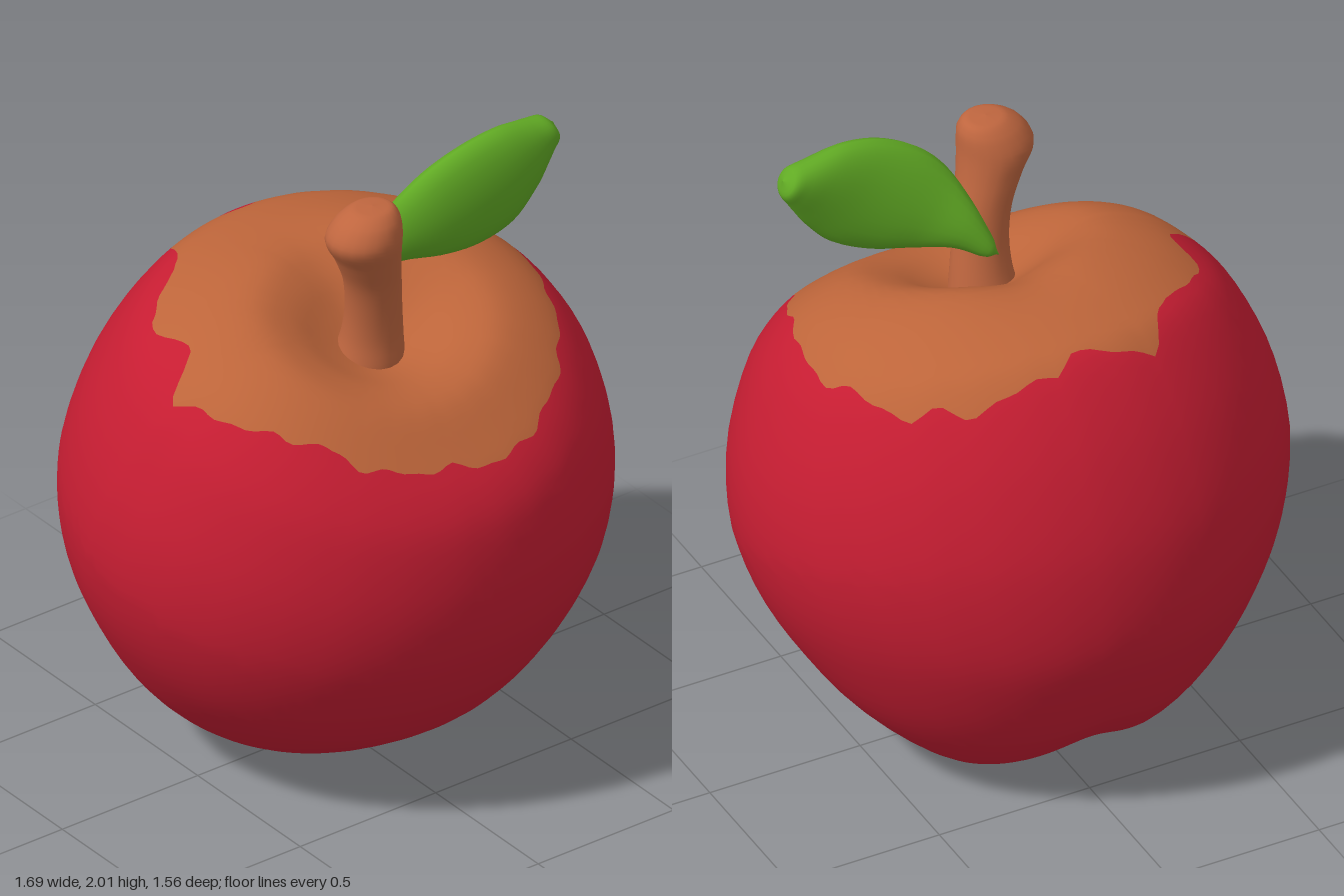
import * as THREE from 'three';

// Smooth closed-around surface: rows run along the form, columns run around it
function skin(rows, cols, point) {
  const pos = [], index = [], p = new THREE.Vector3();
  for (let i = 0; i <= rows; i++)
    for (let j = 0; j < cols; j++) {
      point(i, (j / cols) * Math.PI * 2, p);
      pos.push(p.x, p.y, p.z);
    }
  for (let i = 0; i < rows; i++)
    for (let j = 0; j < cols; j++) {
      const k = (j + 1) % cols;
      const a = i * cols + j, b = a + cols, c = i * cols + k, d = c + cols;
      index.push(a, b, d, a, d, c);
    }
  const g = new THREE.BufferGeometry();
  g.setAttribute('position', new THREE.Float32BufferAttribute(pos, 3));
  g.setIndex(index);
  g.computeVertexNormals();
  return g;
}

// Loft of elliptical sections; each station is [x, y, z, radius along u, radius along v]
function loft(stations, u, v, rows, cols) {
  const path = new THREE.CatmullRomCurve3(stations.map(s => new THREE.Vector3(s[0], s[1], s[2])));
  const size = new THREE.SplineCurve(stations.map(s => new THREE.Vector2(s[3], s[4])));
  return skin(rows, cols, (i, a, p) => {
    const r = size.getPoint(i / rows);
    path.getPoint(i / rows, p);
    p.addScaledVector(u, Math.max(0, r.x) * Math.cos(a));
    p.addScaledVector(v, Math.max(0, r.y) * Math.sin(a));
  });
}

// Half profile of the fruit from top dimple to underside (radius, height)
const profile = new THREE.SplineCurve([
  [0, 0.605], [0.07, 0.617], [0.15, 0.655], [0.25, 0.71], [0.36, 0.73], [0.5, 0.67],
  [0.6, 0.585], [0.68, 0.465], [0.755, 0.26], [0.78, 0.05], [0.755, -0.15], [0.69, -0.35],
  [0.59, -0.5], [0.45, -0.655], [0.3, -0.76], [0.18, -0.8], [0.08, -0.817], [0, -0.82],
].map(([x, y]) => new THREE.Vector2(x, y)));

// Ragged edge of the brown cap: [degrees from front, radius]
const edge = [
  [-5, 0.5], [12, 0.54], [35, 0.53], [66, 0.53], [88, 0.553], [104, 0.618], [122, 0.66],
  [138, 0.7], [154, 0.7], [172, 0.68], [177, 0.64], [184, 0.665], [198, 0.69], [213, 0.6],
  [232, 0.625], [249, 0.53], [262, 0.61], [279, 0.555], [309, 0.48], [323, 0.505], [355, 0.5], [372, 0.54],
];

function edgeParameter(a) {
  const deg = THREE.MathUtils.radToDeg(a);
  const k = edge.findIndex(e => e[0] > deg);
  const [d0, r0] = edge[k - 1], [d1, r1] = edge[k];
  const r = r0 + (r1 - r0) * (deg - d0) / (d1 - d0) + 0.007 * Math.sin(a * 17) + 0.005 * Math.sin(a * 29 + 1);
  let lo = 0, hi = 9 / 17;
  for (let n = 0; n < 18; n++) {
    const mid = (lo + hi) / 2;
    if (profile.getPoint(mid).x < r) lo = mid; else hi = mid;
  }
  return lo;
}

const bell = (x, width) => Math.exp(-((x / width) ** 2));

function fruitGeometry() {
  const capRows = 20, bodyRows = 36, cols = 144;
  const cache = new Map();
  const g = skin(capRows + bodyRows, cols, (i, a, p) => {
    if (!cache.has(a)) cache.set(a, edgeParameter(a));
    const t0 = cache.get(a);
    const t = i <= capRows ? t0 * i / capRows : t0 + (1 - t0) * (i - capRows) / bodyRows;
    const q = profile.getPoint(t);
    const r = Math.max(0, q.x), x = r * Math.sin(a) * 1.085, z = r * Math.cos(a);
    const side = Math.sin(a) ** 2, front = Math.max(0, Math.cos(a)), back = Math.max(0, -Math.cos(a));
    let h = q.y;
    if (h < 0) {
      // groove across the underside between two low lobes, sides drawn in above them
      h += 0.048 * bell(x, 0.12) * bell(r, 0.35);
      h += side * (0.05 * bell(r - 0.69, 0.09) - 0.03 * bell(r - 0.3, 0.15));
    } else {
      // shoulders: sloping at the front, fuller at the sides and back, with a dip in the back rim
      const fade = Math.min(1, h / 0.2);
      h -= 0.08 * front ** 2 * bell(r - 0.46, 0.24) * fade;
      h += 0.075 * back * bell(r - 0.7, 0.1) * fade + 0.015 * side * bell(r - 0.5, 0.15);
      h -= 0.025 * bell(Math.PI - a, 0.4) * bell(r - 0.32, 0.15);
    }
    p.set(x, h, z);
  });
  const split = capRows * cols * 6;
  g.addGroup(0, split, 0);
  g.addGroup(split, bodyRows * cols * 6, 1);
  return g;
}

export function createModel() {
  const paint = (name, color) => {
    const m = new THREE.MeshStandardMaterial({ color });
    m.name = name;
    return m;
  };
  const red = paint('red skin', 0xc61d32);
  const brown = paint('brown cap', 0xbd653a);
  const bark = paint('stem brown', 0xbf663f);
  const green = paint('leaf green', 0x61aa24);

  const group = new THREE.Group();
  group.name = 'apple';
  const add = (name, geometry, material) => {
    const mesh = new THREE.Mesh(geometry, material);
    mesh.name = name;
    group.add(mesh);
    return mesh;
  };

  // Fruit, leaning forward
  const fruit = add('fruit', fruitGeometry(), [brown, red]);
  fruit.rotation.x = Math.asin(0.309);
  fruit.position.set(0, 0.8, -0.005);

  // Stem, slightly flared at the foot and thick at the tip
  add('stem', loft([
    [-0.01, 1.34, 0.18, 0.11, 0.11], [-0.005, 1.44, 0.195, 0.095, 0.09], [-0.012, 1.54, 0.212, 0.087, 0.082],
    [-0.03, 1.65, 0.23, 0.088, 0.085], [-0.062, 1.75, 0.25, 0.1, 0.1], [-0.088, 1.83, 0.265, 0.117, 0.112],
    [-0.075, 1.89, 0.27, 0.1, 0.092], [-0.06, 1.925, 0.27, 0.06, 0.055], [-0.06, 1.93, 0.27, 0, 0],
  ], new THREE.Vector3(1, 0, 0), new THREE.Vector3(0, 0, 1), 40, 20), bark);

  // Plump leaf, curving up from the foot of the stem
  add('leaf', loft([
    [0.0, 1.57, 0.07, 0, 0], [0.03, 1.6, 0.09, 0.035, 0.035], [0.095, 1.675, 0.135, 0.08, 0.055],
    [0.185, 1.735, 0.19, 0.142, 0.07], [0.28, 1.78, 0.22, 0.177, 0.074], [0.39, 1.83, 0.24, 0.178, 0.072],
    [0.49, 1.883, 0.245, 0.138, 0.066], [0.57, 1.918, 0.24, 0.083, 0.056], [0.618, 1.938, 0.238, 0.046, 0.045],
    [0.632, 1.947, 0.238, 0, 0],
  ], new THREE.Vector3(-0.48, 0.877, 0), new THREE.Vector3(0, 0, -1), 40, 20), green);

  return group;
}
